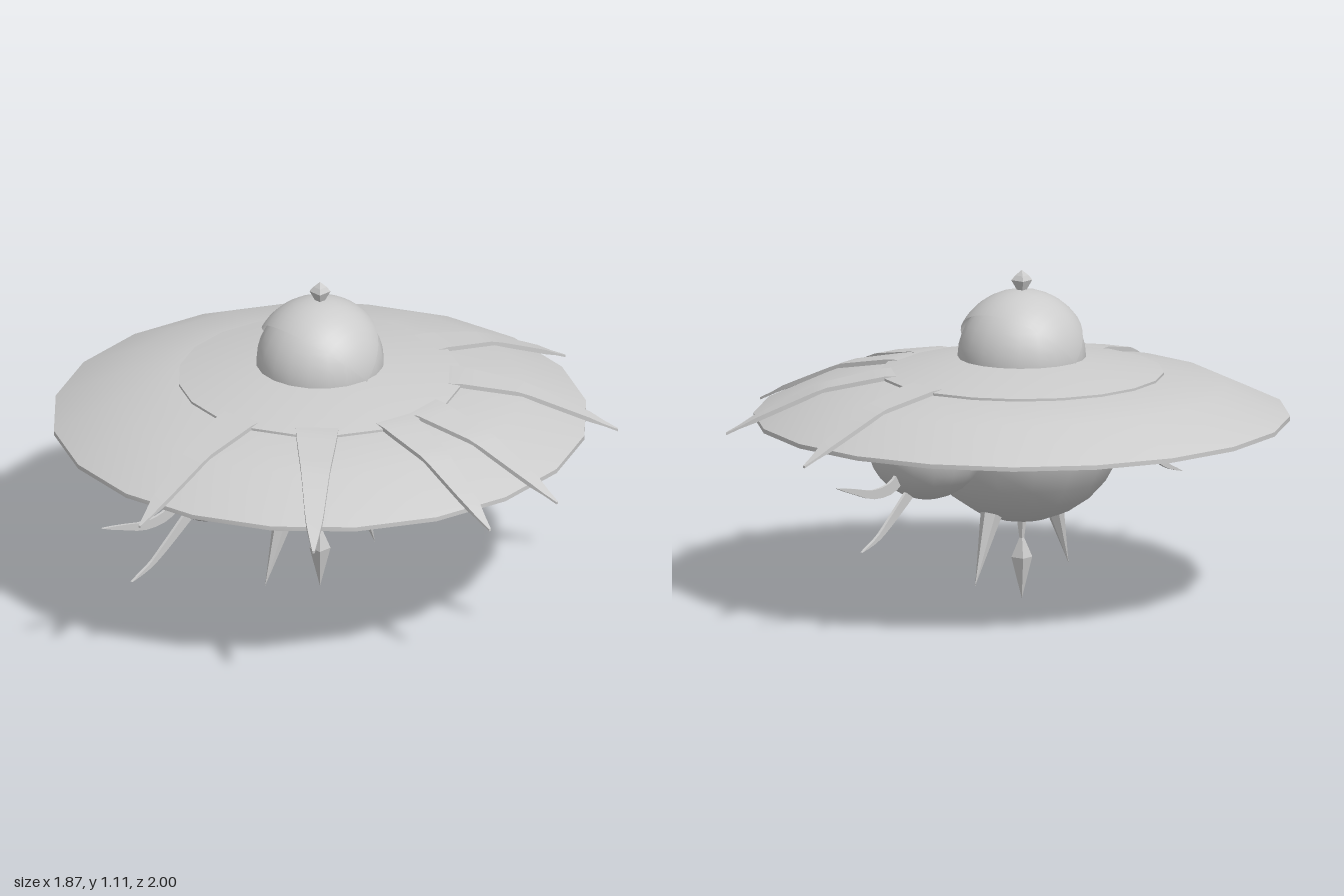
import * as THREE from 'three';
import { toCreasedNormals } from 'three/addons/utils/BufferGeometryUtils.js';

const AXIS_X = -0.045;
const grey = new THREE.MeshStandardMaterial({ color: 0xcccccc, side: THREE.DoubleSide });
const faceted = new THREE.MeshStandardMaterial({ color: 0xcccccc, flatShading: true });

const lathe = (pts, sides) =>
  new THREE.LatheGeometry(pts.map(([r, y]) => new THREE.Vector2(r, y)), sides);

// Linear interpolation through a list of [key, value] pairs
function ramp(keys, k) {
  for (let i = 1; i < keys.length; i++) {
    const [k0, v0] = keys[i - 1], [k1, v1] = keys[i];
    if (k <= k1) return THREE.MathUtils.lerp(v0, v1, (k - k0) / (k1 - k0));
  }
  return keys[keys.length - 1][1];
}

// Thin tapering strip that follows the disc outwards and overhangs its rim
function spineGeometry() {
  const height = [[0.42, 0.768], [0.47, 0.766], [0.67, 0.727], [0.88, 0.634], [0.988, 0.58]];
  const halfWidth = [[0.42, 0.072], [0.5, 0.066], [0.7, 0.045], [0.88, 0.028], [0.988, 0.004]];
  const geo = new THREE.BoxGeometry(1, 1, 1, 12, 1, 1);
  const p = geo.attributes.position;
  for (let i = 0; i < p.count; i++) {
    const r = 0.42 + (p.getX(i) + 0.5) * 0.568;
    const thick = r > 0.9 ? 0.008 : 0.016;
    p.setXYZ(i, r, ramp(height, r) + p.getY(i) * thick, p.getZ(i) * 2 * ramp(halfWidth, r));
  }
  return toCreasedNormals(geo, 0.6);
}

// Flat curved blade in the z-y plane, pointed at its far end
function bladeGeometry(path, width) {
  const curve = new THREE.CatmullRomCurve3(path.map(([z, y]) => new THREE.Vector3(z, y, 0)));
  const upper = [], lower = [], n = 10;
  for (let i = 0; i <= n; i++) {
    const t = i / n, c = curve.getPoint(t), d = curve.getTangent(t);
    const w = width * Math.pow(1 - t, 0.7) / 2;
    upper.push(new THREE.Vector2(c.x - d.y * w, c.y + d.x * w));
    if (i < n) lower.unshift(new THREE.Vector2(c.x + d.y * w, c.y - d.x * w));
  }
  const geo = new THREE.ExtrudeGeometry(new THREE.Shape([...upper, ...lower]),
    { depth: 0.01, bevelEnabled: false });
  return geo.translate(0, 0, -0.005).rotateY(-Math.PI / 2);
}

export function createModel() {
  const model = new THREE.Group();
  model.name = 'saucer';
  model.position.x = AXIS_X;
  const add = (name, geo, mat = grey, parent = model) => {
    const mesh = new THREE.Mesh(geo, mat);
    mesh.name = name;
    parent.add(mesh);
    return mesh;
  };

  // Hollow disc and the raised collar on it
  add('disc', toCreasedNormals(lathe([
    [0.2, 0.75], [0.47, 0.745], [0.67, 0.705], [0.87, 0.607], [0.89, 0.607],
    [0.89, 0.622], [0.68, 0.72], [0.47, 0.76], [0.2, 0.77]], 20), 0.7));
  add('collar', toCreasedNormals(lathe([
    [0.46, 0.755], [0.472, 0.757], [0.472, 0.768], [0.22, 0.818], [0.15, 0.82]], 20), 0.7));

  // Dome with a lid covering its upper wedge, hinged on the x axis
  add('dome', new THREE.SphereGeometry(0.213, 20, 10, 0, Math.PI * 2, 0, Math.PI * 0.55))
    .position.y = 0.82;
  const lid = new THREE.SphereGeometry(0.225, 12, 20, Math.PI * 0.75, Math.PI / 2);
  add('domeLid', lid.rotateZ(Math.PI / 2)).position.y = 0.82;

  // Four-sided finial on the dome
  add('finial', lathe([[0.012, 1.035], [0.035, 1.076], [0.022, 1.092], [0, 1.11]], 4)
    .rotateY(Math.PI / 4), faceted);

  // Round belly, open at the top inside the disc
  add('belly', new THREE.SphereGeometry(0.355, 16, 8, 0, Math.PI * 2, 1.25, Math.PI - 1.25))
    .position.y = 0.62;

  // Dart hanging from the belly
  add('dart', lathe([[0, 0], [0.035, 0.14], [0.008, 0.205], [0.018, 0.28]], 4)
    .rotateY(Math.PI / 4), faceted);

  // Spines on the left half of the disc
  const spine = spineGeometry();
  for (const deg of [-81, -45, -9, 9, 45, 81])
    add('spine', spine).rotation.y = THREE.MathUtils.degToRad(deg);

  // Front and back: side pod with two feelers, and a slanting belly spike
  const upperFeeler = bladeGeometry([[0.64, 0.53], [0.7, 0.488], [0.8, 0.478], [0.9, 0.503], [1, 0.53]], 0.05);
  const lowerFeeler = bladeGeometry([[0.57, 0.48], [0.64, 0.425], [0.72, 0.365], [0.78, 0.325], [0.865, 0.292]], 0.045);
  const from = new THREE.Vector3(0, 0.31, 0.165), to = new THREE.Vector3(0, 0.08, 0.252);
  const dir = to.clone().sub(from);
  for (const front of [true, false]) {
    const side = new THREE.Group();
    side.name = front ? 'frontSide' : 'backSide';
    side.rotation.y = front ? 0 : Math.PI;
    model.add(side);

    const pod = add('pod',
      new THREE.SphereGeometry(1, 16, 10, 0, Math.PI * 2, 0.9, Math.PI - 0.9), grey, side);
    pod.position.set(0, 0.605, 0.515);
    pod.scale.set(0.2, 0.185, 0.19);
    add('upperFeeler', upperFeeler, grey, side);
    add('lowerFeeler', lowerFeeler, grey, side);

    const spike = add('bellySpike', new THREE.ConeGeometry(0.036, dir.length(), 6), faceted, side);
    spike.position.copy(from).lerp(to, 0.5);
    spike.quaternion.setFromUnitVectors(new THREE.Vector3(0, 1, 0), dir.clone().normalize());
  }

  const root = new THREE.Group();
  root.add(model);
  return root;
}
